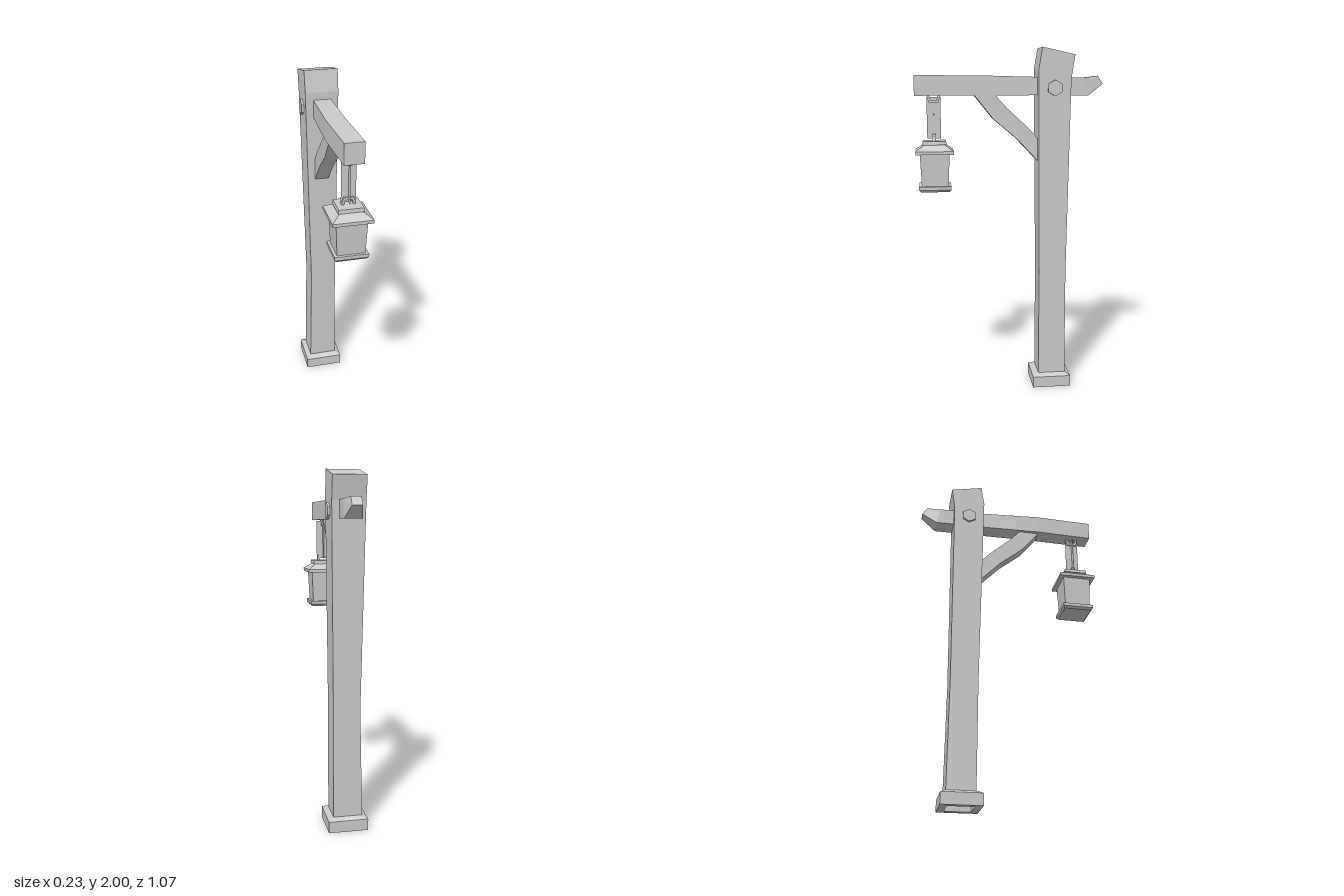
import * as THREE from 'three';

const material = new THREE.MeshStandardMaterial({ color: 0xcccccc, flatShading: true });
const thinMaterial = new THREE.MeshStandardMaterial({ color: 0xcccccc, flatShading: true, side: THREE.DoubleSide });

// Skin a run of four-cornered sections; corners run counterclockwise seen from the far end.
function loft(sections, capped = true) {
  const pos = [];
  const quad = (a, b, c, d) => pos.push(...a, ...b, ...c, ...a, ...c, ...d);
  for (let s = 0; s < sections.length - 1; s++) {
    const a = sections[s], b = sections[s + 1];
    for (let i = 0; i < 4; i++) {
      const j = (i + 1) % 4;
      quad(a[i], a[j], b[j], b[i]);
    }
  }
  if (capped) {
    const a = sections[0], b = sections[sections.length - 1];
    quad(a[3], a[2], a[1], a[0]);
    quad(b[0], b[1], b[2], b[3]);
  }
  const geo = new THREE.BufferGeometry();
  geo.setAttribute('position', new THREE.Float32BufferAttribute(pos, 3));
  geo.computeVertexNormals();
  return geo;
}

// Level section for upright parts; the back edge may sit at another height.
const level = (x0, x1, zBack, zFront, yFront, yBack = yFront) => [
  [x0, yFront, zFront], [x1, yFront, zFront], [x1, yBack, zBack], [x0, yBack, zBack]];

// Section for parts running towards +z, from a lower and an upper [z, y] point.
const upright = (x0, x1, [zl, yl], [zu, yu]) => [
  [x0, yl, zl], [x1, yl, zl], [x1, yu, zu], [x0, yu, zu]];

// Square section centred on the part's own axis.
const square = (y, h) => level(-h, h, -h, h, y);

function add(parent, name, geometry, mat = material) {
  const mesh = new THREE.Mesh(geometry, mat);
  mesh.name = name;
  parent.add(mesh);
  return mesh;
}

// Small U-shaped staple, legs down, in the xy plane.
function stapleGeometry() {
  const s = new THREE.Shape([
    [-0.038, 0], [-0.028, 0.038], [0.028, 0.038], [0.038, 0],
    [0.024, 0], [0.018, 0.024], [-0.018, 0.024], [-0.024, 0],
  ].map(([x, y]) => new THREE.Vector2(x, y)));
  return new THREE.ExtrudeGeometry(s, { depth: 0.02, bevelEnabled: false }).translate(0, 0, -0.01);
}

export function createModel() {
  const model = new THREE.Group();
  model.name = 'lanternPost';

  // Stone foot, hollow underneath, with a bevelled top edge
  const foot = add(model, 'foot', loft([
    square(0.07, 0.073), square(0, 0.073), square(0, 0.113),
    square(0.065, 0.113), square(0.08, 0.085), square(0.08, 0.07),
  ], false));
  foot.position.z = -0.247;

  // Slightly crooked post with a slanted top
  add(model, 'post', loft([
    level(-0.084, 0.081, -0.33, -0.17, 0.06),
    level(-0.071, 0.081, -0.326, -0.168, 0.7),
    level(-0.093, 0.092, -0.34, -0.155, 1.88, 1.83),
    level(-0.094, 0.092, -0.36, -0.175, 2.0, 1.96),
  ]));

  // Cross beam with a bend and a chiselled back end
  add(model, 'beam', loft([
    upright(-0.028, 0.028, [-0.535, 1.8], [-0.505, 1.845]),
    upright(-0.048, 0.05, [-0.447, 1.735], [-0.425, 1.835]),
    upright(-0.048, 0.05, [-0.15, 1.737], [-0.15, 1.838]),
    upright(-0.063, 0.042, [0.19, 1.735], [0.19, 1.846]),
    upright(-0.053, 0.05, [0.535, 1.735], [0.535, 1.846]),
  ]));

  // Curved brace under the beam
  add(model, 'brace', loft([
    upright(-0.042, 0.038, [-0.168, 1.358], [-0.168, 1.485]),
    upright(-0.042, 0.038, [-0.037, 1.495], [-0.11, 1.55]),
    upright(-0.042, 0.038, [0.095, 1.605], [0.016, 1.665]),
    upright(-0.042, 0.038, [0.2, 1.736], [0.08, 1.736]),
  ]));

  // Hexagonal bolt through the post
  const bolt = add(model, 'bolt', new THREE.CylinderGeometry(0.045, 0.045, 0.208, 6));
  bolt.geometry.rotateY(Math.PI / 2).rotateZ(Math.PI / 2);
  bolt.geometry.rotateX(Math.PI / 6 * (isPointUp(bolt.geometry) ? 0 : 1));
  bolt.position.set(0, 1.777, -0.248);

  // Hanging lantern
  const lantern = new THREE.Group();
  lantern.name = 'lantern';
  lantern.position.z = 0.428;
  model.add(lantern);

  add(lantern, 'lanternBase', loft([square(1.199, 0.08), square(1.212, 0.091), square(1.231, 0.091)]));
  add(lantern, 'lanternBody', loft([square(1.225, 0.075), square(1.42, 0.083)]));
  add(lantern, 'lanternRoof', loft([square(1.412, 0.107), square(1.43, 0.107), square(1.465, 0.055)]));
  add(lantern, 'lanternCap', loft([square(1.463, 0.068), square(1.483, 0.065)]));

  // Chain as two crossed strips, held by a staple at each end
  for (const turn of [0, Math.PI / 2]) {
    const strip = add(lantern, 'chainStrip', new THREE.PlaneGeometry(0.078, 0.232), thinMaterial);
    strip.position.y = 1.611;
    strip.rotation.y = turn;
  }
  add(lantern, 'lowerStaple', stapleGeometry()).position.y = 1.483;
  const upper = add(lantern, 'upperStaple', stapleGeometry());
  upper.position.y = 1.736;
  upper.rotation.set(Math.PI, Math.PI / 2, 0);

  return model;
}

// True when a corner of the hexagon already points straight up.
function isPointUp(geometry) {
  geometry.computeBoundingBox();
  return geometry.boundingBox.max.y > 0.044;
}
